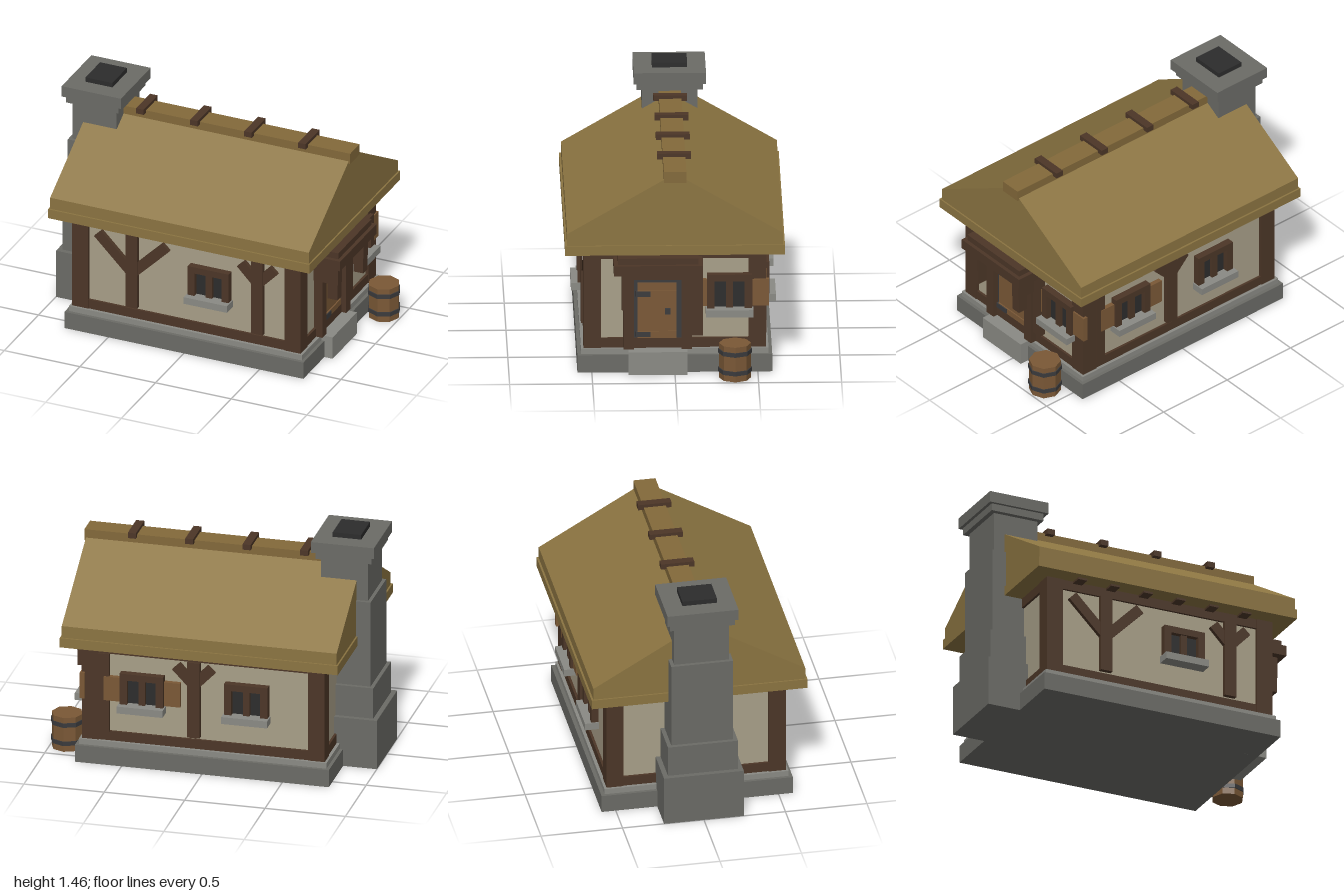
import * as THREE from 'three';

const mat = (color) => new THREE.MeshStandardMaterial({ color, flatShading: true });
const M = {
  thatch: mat(0x8b7441), ridge: mat(0x83693a), timber: mat(0x4c3627), plaster: mat(0xa89f88),
  stone: mat(0x6b6b66), paleStone: mat(0x8a8a84), dark: mat(0x2c2c2c), iron: mat(0x3a3a3c), wood: mat(0x7a5836),
};

export function createModel() {
  const model = new THREE.Group();
  model.name = 'cottage';

  const add = (parent, name, geometry, material) => {
    const mesh = new THREE.Mesh(geometry, material);
    mesh.name = name;
    parent.add(mesh);
    return mesh;
  };
  // Box given by its extents
  const box = (name, m, x0, x1, y0, y1, z0, z1, parent = model) => {
    const mesh = add(parent, name, new THREE.BoxGeometry(x1 - x0, y1 - y0, z1 - z0), m);
    mesh.position.set((x0 + x1) / 2, (y0 + y1) / 2, (z0 + z1) / 2);
    return mesh;
  };
  // Group on a wall: local +z points out of the wall, local z = 0 is the plaster
  const wallGroup = (name, side) => {
    const g = new THREE.Group();
    g.name = name;
    if (side === 'front') g.position.z = 0.53;
    if (side === 'back') { g.position.z = -0.53; g.rotation.y = Math.PI; }
    if (side === 'east') { g.position.x = 0.735; g.rotation.y = Math.PI / 2; }
    model.add(g);
    return g;
  };

  // Foundation and plaster walls
  box('foundation', M.stone, -0.79, 0.79, 0, 0.11, -0.587, 0.587);
  box('foundationLedge', M.paleStone, -0.77, 0.77, 0.11, 0.145, -0.565, 0.565);
  box('walls', M.plaster, -0.735, 0.735, 0.145, 0.775, -0.53, 0.53);

  // Timber frame: corner posts, sill beams and top beams
  for (const sx of [-1, 1]) {
    for (const sz of [-1, 1]) {
      const post = box('cornerPost', M.timber, -0.0525, 0.0525, 0.145, 0.77, -0.0525, 0.0525);
      post.position.x = sx * 0.7025;
      post.position.z = sz * 0.4975;
    }
  }
  for (const [y0, y1] of [[0.145, 0.205], [0.71, 0.77]]) {
    for (const s of [-1, 1]) {
      box('longBeam', M.timber, -0.65, 0.65, y0, y1, -0.01, 0.01).position.z = s * 0.535;
      box('endBeam', M.timber, -0.01, 0.01, y0, y1, -0.445, 0.445).position.x = s * 0.74;
    }
  }

  // Forked timber: upright with two slanted braces
  const fork = (side, u, forkY, spread) => {
    const g = wallGroup('forkedTimber', side);
    box('upright', M.timber, u - 0.039, u + 0.039, 0.22, 0.71, -0.01, 0.03, g);
    for (const s of [-1, 1]) {
      const dy = 0.675 - forkY;
      const brace = add(g, 'brace', new THREE.BoxGeometry(0.065, Math.hypot(spread, dy), 0.03), M.timber);
      brace.position.set(u + s * spread / 2, forkY + dy / 2, 0.01);
      brace.rotation.z = -s * Math.atan2(spread, dy);
    }
  };
  fork('front', -0.36, 0.45, 0.225);
  fork('front', 0.47, 0.56, 0.11);
  fork('back', -0.06, 0.56, 0.11);
  box('backStud', M.timber, 0.585, 0.655, 0.2, 0.71, -0.555, -0.52);
  box('endStud', M.timber, 0.73, 0.775, 0.225, 0.71, -0.17, -0.105);

  // Window with frame, mullion, stone sill and optional shutters
  const makeWindow = (side, u, top, shutters) => {
    const g = wallGroup('window', side);
    box('pane', M.dark, u - 0.1, u + 0.1, 0.4, top - 0.03, -0.01, 0.012, g);
    box('head', M.timber, u - 0.135, u + 0.135, top - 0.042, top, -0.01, 0.045, g);
    box('mullion', M.timber, u - 0.02, u + 0.02, 0.4, top - 0.04, 0, 0.035, g);
    box('sill', M.paleStone, u - 0.143, u + 0.143, 0.355, 0.4, -0.01, 0.085, g);
    for (const s of [-1, 1]) {
      box('jamb', M.timber, -0.0225, 0.0225, 0.4, top, -0.01, 0.045, g).position.x = u + s * 0.1125;
      if (shutters) box('shutter', M.wood, -0.05, 0.05, 0.41, top - 0.035, 0, 0.03, g).position.x = u + s * 0.187;
    }
  };
  makeWindow('front', 0.155, 0.595, false);
  makeWindow('back', -0.38, 0.6, true);
  makeWindow('back', 0.27, 0.6, false);
  makeWindow('east', 0.33, 0.613, true);

  // Door with frame, battens, hinges and handle
  box('doorSurround', M.iron, 0.72, 0.752, 0.2, 0.585, -0.04, 0.247);
  box('doorLeaf', M.wood, 0.73, 0.762, 0.207, 0.557, -0.01, 0.225);
  for (const y of [0.215, 0.472]) {
    box('doorBatten', M.wood, 0.75, 0.77, y, y + 0.038, -0.01, 0.225);
    box('hinge', M.iron, 0.75, 0.776, y + 0.003, y + 0.035, 0.145, 0.235);
  }
  box('handle', M.iron, 0.75, 0.785, 0.365, 0.398, 0.027, 0.058);
  for (const z of [0.278, -0.072]) box('doorPost', M.timber, 0.72, 0.79, 0.145, 0.65, z - 0.032, z + 0.032);
  box('lintel', M.timber, 0.72, 0.785, 0.585, 0.645, -0.04, 0.247);
  box('threshold', M.timber, 0.72, 0.76, 0.145, 0.207, -0.04, 0.247);
  box('doorStep', M.paleStone, 0.7, 0.845, 0, 0.145, -0.075, 0.28);

  // Porch hood on brackets
  box('hoodTop', M.timber, 0.72, 0.912, 0.72, 0.765, -0.14, 0.345);
  box('hood', M.timber, 0.72, 0.935, 0.66, 0.725, -0.165, 0.37);
  for (const z of [0.292, -0.086]) {
    box('bracketArm', M.timber, 0.73, 0.9, 0.53, 0.66, z - 0.028, z + 0.028);
    box('bracketDrop', M.timber, 0.83, 0.895, 0.43, 0.66, z - 0.03, z + 0.03);
  }

  // Roof: eave slab, gabled thatch, ridge cap and ties
  box('eave', M.thatch, -0.865, 0.865, 0.77, 0.83, -0.662, 0.662);
  const gable = new THREE.Shape([[-0.65, 0.83], [0.65, 0.83], [0.65, 0.905], [0, 1.286], [-0.65, 0.905]]
    .map(([a, b]) => new THREE.Vector2(a, b)));
  const thatch = new THREE.ExtrudeGeometry(gable, { depth: 1.71, bevelEnabled: false });
  thatch.translate(0, 0, -0.855).rotateY(Math.PI / 2);
  add(model, 'thatch', thatch, M.thatch);
  box('ridgeCap', M.ridge, -0.865, 0.865, 1.23, 1.3, -0.068, 0.068);
  for (let i = 0; i < 4; i++) {
    const x = -0.51 + i * 0.357;
    box('ridgeTie', M.timber, x - 0.025, x + 0.025, 1.285, 1.32, -0.102, 0.102);
  }
  // Rafter tails under both eaves
  for (let i = 0; i < 6; i++) {
    const x = -0.55 + i * 0.22;
    for (const s of [-1, 1]) box('rafterTail', M.timber, x - 0.03, x + 0.03, 0.757, 0.79, -0.05, 0.05).position.z = s * 0.57;
  }

  // Stepped chimney: x0, x1, y0, y1, half depth
  [[-1, -0.57, 0, 0.315, 0.245], [-0.97, -0.6, 0.315, 0.512, 0.215], [-0.947, -0.61, 0.512, 1.06, 0.19],
    [-0.925, -0.633, 1.06, 1.32, 0.168], [-0.955, -0.608, 1.315, 1.362, 0.199], [-0.975, -0.583, 1.36, 1.43, 0.218]]
    .forEach(([x0, x1, y0, y1, d]) => box('chimney', M.stone, x0, x1, y0, y1, -d, d));
  box('flue', M.dark, -0.867, -0.69, 1.42, 1.46, -0.106, 0.106);

  // Barrel with iron hoops
  const barrel = new THREE.Group();
  barrel.name = 'barrel';
  barrel.position.set(0.895, 0, -0.36);
  model.add(barrel);
  add(barrel, 'staves', new THREE.CylinderGeometry(0.097, 0.097, 0.22, 8), M.wood).position.y = 0.11;
  for (const y of [0.053, 0.172]) {
    add(barrel, 'hoop', new THREE.CylinderGeometry(0.103, 0.103, 0.027, 8), M.iron).position.y = y;
  }
  return model;
}
